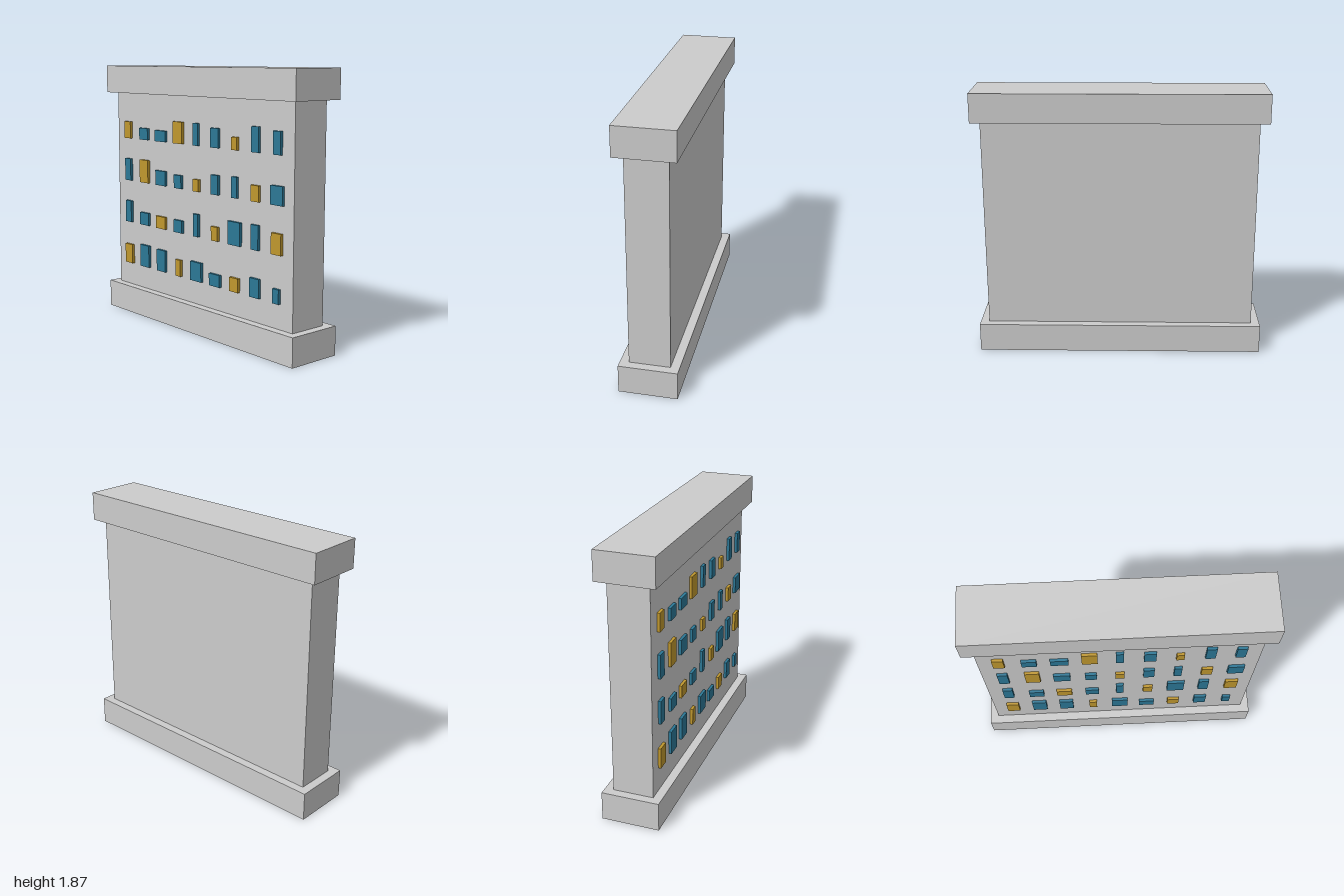
import * as THREE from 'three';

// Window rows from bottom to top: [width, height, 1 if lit]
const ROWS = [
  [[.09, .145, 1], [.104, .165], [.1, .16], [.056, .12, 1], [.117, .137], [.11, .086], [.085, .097, 1], [.088, .13], [.057, .097]],
  [[.07, .163], [.104, .093], [.108, .09, 1], [.095, .09], [.053, .16], [.067, .098, 1], [.12, .16], [.07, .167], [.09, .14, 1]],
  [[.07, .165], [.1, .17, 1], [.115, .107], [.08, .095], [.063, .085, 1], [.075, .135], [.052, .143], [.075, .107, 1], [.11, .125]],
  [[.075, .125, 1], [.1, .086], [.12, .08], [.105, .155, 1], [.053, .155], [.08, .133], [.053, .086, 1], [.067, .167], [.067, .15]],
];

export function createModel() {
  const model = new THREE.Group();
  model.name = 'windowedWall';

  const material = (name, color) => {
    const m = new THREE.MeshStandardMaterial({ color });
    m.name = name;
    return m;
  };
  const concrete = material('concreteGrey', 0xcccccc);
  const gold = material('goldGlass', 0xc0982e);
  const blue = material('blueGlass', 0x2c7896);

  // Box placed by the centre of its underside
  const box = (name, w, h, d, x, y, z, mat, parent = model) => {
    const mesh = new THREE.Mesh(new THREE.BoxGeometry(w, h, d), mat);
    mesh.name = name;
    mesh.position.set(x, y + h / 2, z);
    parent.add(mesh);
  };

  // Plinth, wall and coping
  box('plinth', 2, 0.2, 0.4, 0, 0, 0, concrete);
  box('wall', 1.88, 1.47, 0.28, 0, 0.2, 0, concrete);
  box('coping', 2, 0.2, 0.4, 0, 1.67, 0, concrete);

  // Raised glass panes, aligned along their sills
  const windows = new THREE.Group();
  windows.name = 'windows';
  model.add(windows);
  ROWS.forEach((row, r) => row.forEach(([w, h, lit], c) => {
    box('window', w, h, 0.02, -0.8 + c * 0.2, 0.37 + r * 0.32, 0.15, lit ? gold : blue, windows);
  }));

  return model;
}
